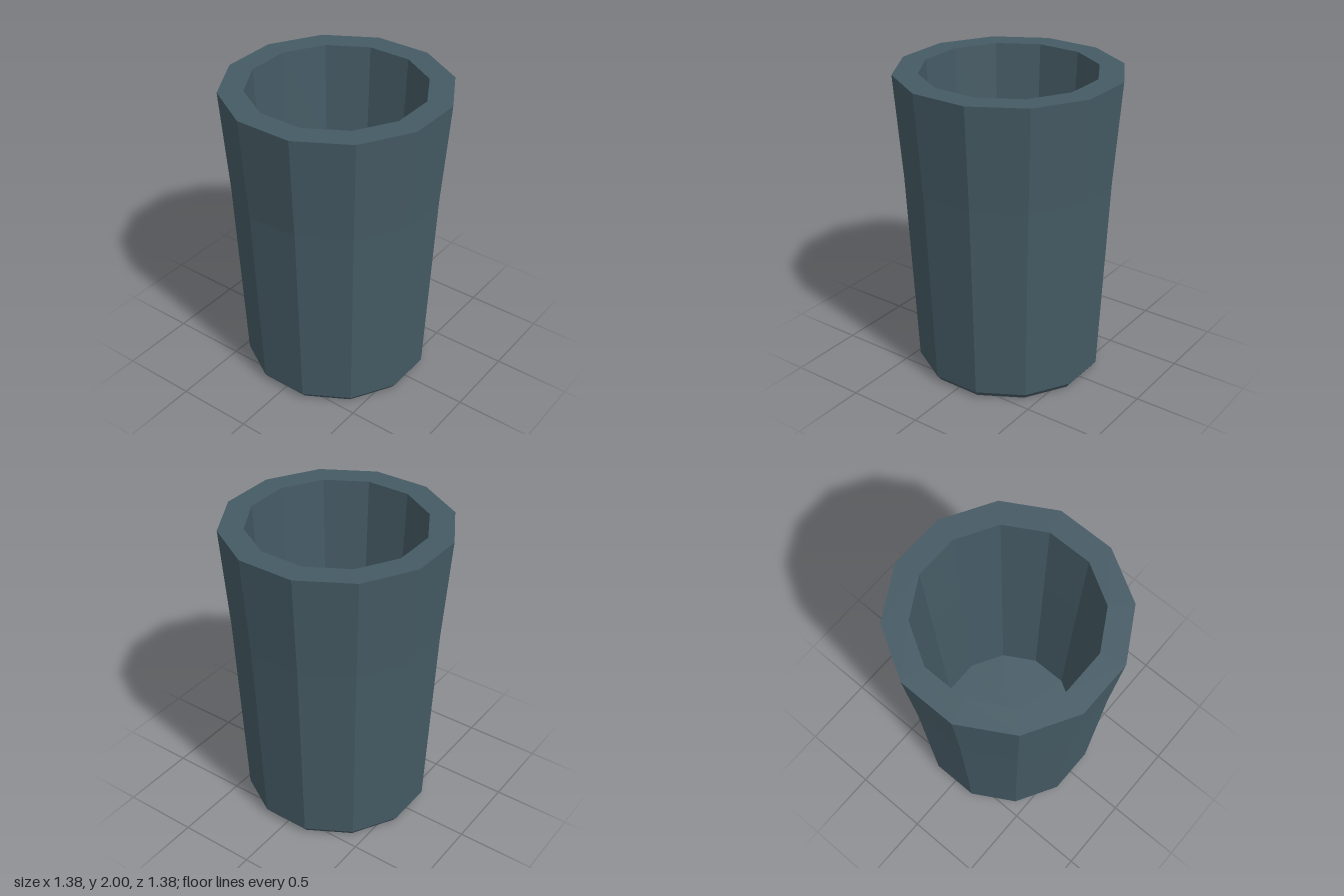
import * as THREE from 'three';

const SIDES = 12;
// Turns a flat-to-flat half width into the corner radius of the polygon
const corner = (halfWidth) => halfWidth / Math.cos(Math.PI / SIDES);

export function createModel() {
  const group = new THREE.Group();
  group.name = 'cup';
  const material = new THREE.MeshStandardMaterial({ color: 0x455a64, flatShading: true });

  // Revolves [halfWidth, y] pairs into a faceted surface with flats facing the axes
  function addRevolved(name, profile) {
    const points = profile.map(([w, y]) => new THREE.Vector2(corner(w), y));
    const geometry = new THREE.LatheGeometry(points, SIDES, Math.PI / SIDES);
    const mesh = new THREE.Mesh(geometry, material);
    mesh.name = name;
    group.add(mesh);
  }

  // Underside, bevelled foot and slightly flared wall
  addRevolved('outerWall', [[0, 0], [0.56, 0], [0.59, 0.04], [0.645, 1.33], [0.692, 2]]);
  // Thick flat rim
  addRevolved('rim', [[0.692, 2], [0.54, 2]]);
  // Hollow inside, down to the floor
  addRevolved('innerWall', [[0.54, 2], [0.507, 1.33], [0.455, 0.13]]);
  addRevolved('floor', [[0.455, 0.13], [0, 0.13]]);

  return group;
}
